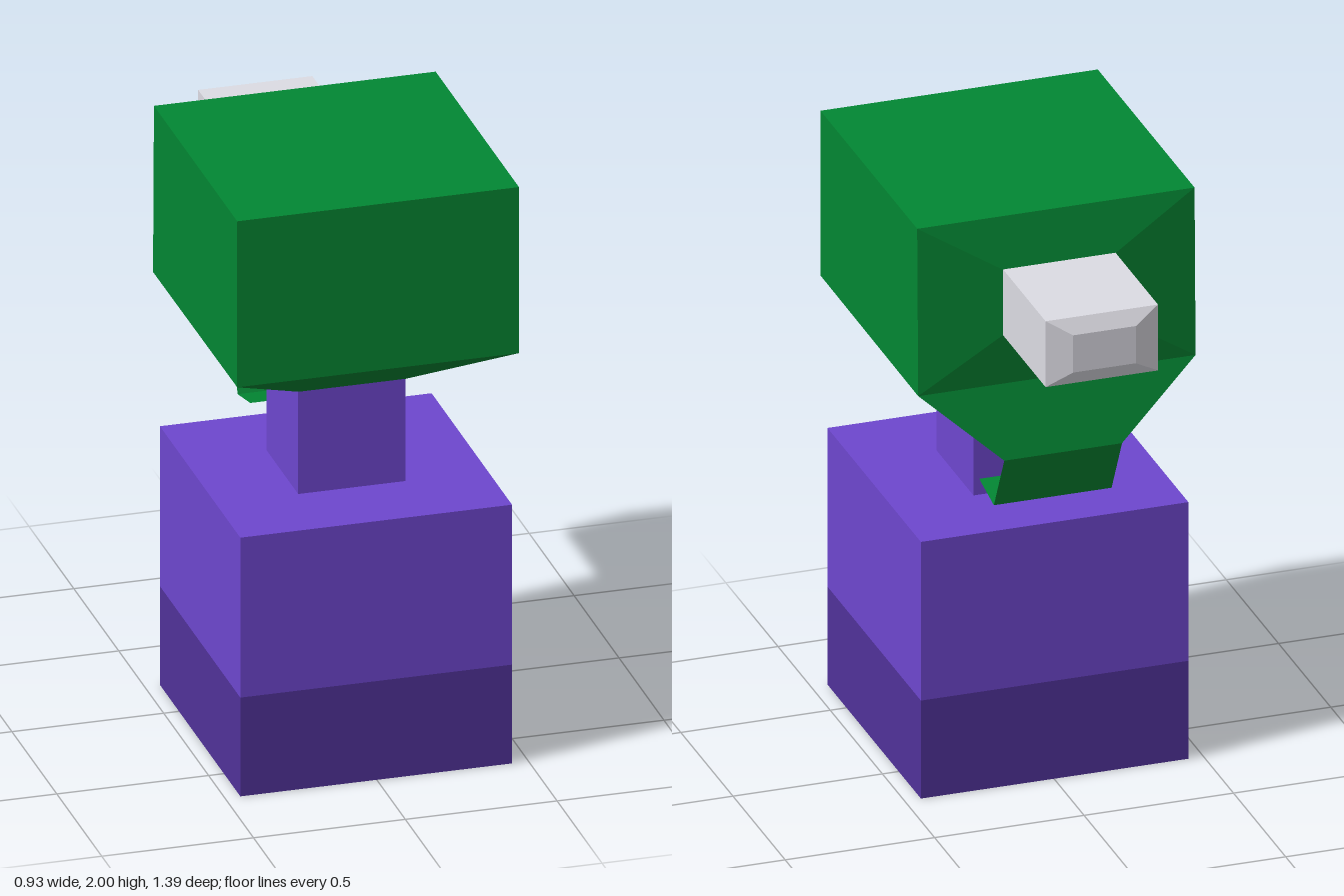
import * as THREE from 'three';

const material = (name, color) => {
  const m = new THREE.MeshStandardMaterial({ color });
  m.name = name;
  return m;
};

// Builds flat faces that mirror across x = 0.
// points: corners of the +x half; path: corners joined straight across to the other half,
// in order; sides: faces of the +x half, given as corner indices.
function mirroredFaces(points, path, sides = []) {
  const positions = [];
  const flip = ([x, y, z]) => [-x, y, z];
  const addFace = (corners) => {
    for (let i = 1; i < corners.length - 1; i++) {
      positions.push(...corners[0], ...corners[i], ...corners[i + 1]);
    }
  };
  for (let i = 0; i < path.length - 1; i++) {
    const a = points[path[i]];
    const b = points[path[i + 1]];
    addFace([a, b, flip(b), flip(a)]);
  }
  for (const side of sides) {
    const corners = side.map((i) => points[i]);
    addFace(corners);
    addFace(corners.map(flip).reverse());
  }
  const geometry = new THREE.BufferGeometry();
  geometry.setAttribute('position', new THREE.Float32BufferAttribute(positions, 3));
  geometry.computeVertexNormals();
  return geometry;
}

export function createModel() {
  const green = material('green', 0x028733);
  const purple = material('purple', 0x6e47cf);
  const darkPurple = material('dark purple', 0x51329a);
  const grey = material('light grey', 0xdddce4);

  const model = new THREE.Group();
  const add = (name, geometry, mat) => {
    const mesh = new THREE.Mesh(geometry, mat);
    mesh.name = name;
    model.add(mesh);
    return mesh;
  };
  const addBox = (name, mat, size, bottom, top) => {
    const mesh = add(name, new THREE.BoxGeometry(size, top - bottom, size), mat);
    mesh.position.set(-0.002, (bottom + top) / 2, 0.235);
  };

  // Bottle: darker lower band, upper body and neck
  addBox('lowerBody', darkPurple, 0.895, 0, 0.342);
  addBox('upperBody', purple, 0.895, 0.342, 0.896);
  addBox('neck', purple, 0.354, 0.896, 1.25);

  // Head: a block that narrows to the neck, nozzle and trigger
  add('head', mirroredFaces([
    [0.464, 2, 0.697],     // 0 top front
    [0.464, 2, -0.23],     // 1 top back
    [0.19, 1.83, -0.263],  // 2 nozzle seat top
    [0.19, 1.6, -0.263],   // 3 nozzle seat bottom
    [0.464, 1.42, -0.24],  // 4 lower back
    [0.197, 1.18, -0.3],   // 5 trigger seat back
    [0.197, 1.17, -0.16],  // 6 trigger seat front
    [0.177, 1.25, 0.058],  // 7 neck back
    [0.177, 1.25, 0.412],  // 8 neck front
    [0.464, 1.425, 0.697], // 9 lower front
  ], [0, 1, 2, 3, 4, 5, 6, 7, 8, 9, 0], [
    [0, 9, 4, 1], [1, 4, 3, 2],
    [9, 8, 4], [8, 7, 4], [7, 6, 4], [6, 5, 4],
  ]), green);

  // Trigger: a hollow channel, open at the front, with inward-facing walls
  const trigger = [
    [0.197, 1.17, -0.16],
    [0.197, 1.18, -0.3],
    [0.197, 0.98, -0.2],
    [0.197, 1.01, -0.06],
  ];
  add('triggerBack', mirroredFaces(trigger, [1, 2]), green);
  add('triggerInside', mirroredFaces(trigger, [3, 2, 1], [[0, 1, 2, 3]]), green);

  // Nozzle with a bevelled tip
  add('nozzle', mirroredFaces([
    [0.188, 1.83, -0.26],
    [0.188, 1.83, -0.67],
    [0.105, 1.78, -0.697],
    [0.105, 1.65, -0.697],
    [0.188, 1.6, -0.67],
    [0.188, 1.6, -0.26],
  ], [0, 1, 2, 3, 4, 5], [[0, 5, 4, 1], [1, 4, 3, 2]]), grey);

  return model;
}
